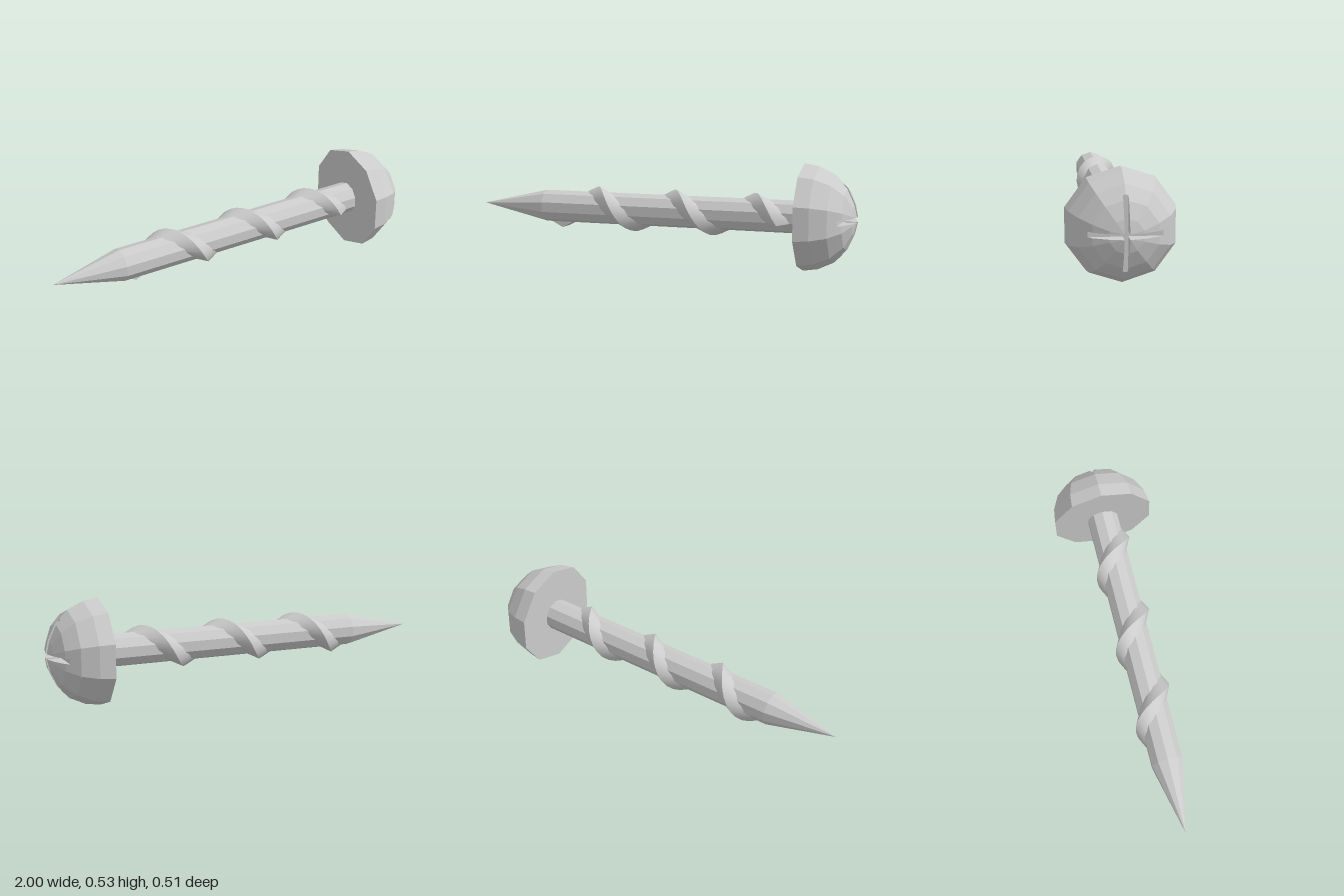
import * as THREE from 'three';

const AXIS_Y = 0.2675; // height of the screw axis, which runs along x
const SIDES = 10;
const flat = new THREE.MeshStandardMaterial({ color: 0xcccccc, flatShading: true });
const smooth = new THREE.MeshStandardMaterial({ color: 0xcccccc });

function addMesh(group, name, geometry, material) {
  const mesh = new THREE.Mesh(geometry, material);
  mesh.name = name;
  mesh.position.y = AXIS_Y;
  group.add(mesh);
}

function fromTriangles(points, indices) {
  const g = new THREE.BufferGeometry();
  g.setAttribute('position', new THREE.Float32BufferAttribute(points.flat(), 3));
  g.setIndex(indices);
  g.computeVertexNormals();
  return g;
}

// Ten-sided turned body from [x, radius] pairs, with a corner pointing up
function turned(profile) {
  const pts = profile.map(([x, r]) => new THREE.Vector2(r, x));
  return new THREE.LatheGeometry(pts, SIDES, Math.PI / 2).rotateZ(-Math.PI / 2);
}

// One quarter of the dome above the slot floor, including its two slot walls
function domeQuarter(sy, sz) {
  const w = 0.0125;
  const rings = [[0.93, 0.176], [0.95, 0.155], [0.985, 0.08]];
  const points = [], indices = [];
  const tri = (a, b, c) => indices.push(...(sy * sz > 0 ? [a, b, c] : [a, c, b]));
  for (const [x, r] of rings) {
    const [p0, p1, p2, p3] = [0, 1, 2, 3].map(i => {
      const a = i * 2 * Math.PI / SIDES;
      return new THREE.Vector2(r * Math.cos(a), r * Math.sin(a));
    });
    const start = p0.clone().lerp(p1, w / p1.y);
    const end = p2.clone().lerp(p3, (p2.x - w) / (p2.x - p3.x));
    for (const p of [start, p1, p2, end]) points.push([x, sy * p.x, sz * p.y]);
  }
  const tip = points.push([1, sy * w, sz * w]) - 1;
  const corner = points.push([0.93, sy * w, sz * w]) - 1;
  for (let i = 0; i < rings.length; i++) {
    const last = i === rings.length - 1, k = i * 4;
    for (let j = 0; j < 3; j++) {
      if (last) tri(k + j, k + j + 1, tip);
      else {
        tri(k + j, k + j + 1, k + j + 5);
        tri(k + j, k + j + 5, k + j + 4);
      }
    }
    tri(corner, k, last ? tip : k + 4);
    tri(corner, last ? tip : k + 7, k + 3);
  }
  return fromTriangles(points, indices);
}

// Triangular ridge wound around the shaft, each flank smooth with a sharp crest
function threadGeometry() {
  const steps = 56, turns = 2.8, pitch = 0.42, half = 0.08;
  const points = [], indices = [];
  const at = (i, dx, r) => {
    const t = turns * i / steps, a = t * 2 * Math.PI;
    return [-0.555 + pitch * t + dx, -r * Math.cos(a), -r * Math.sin(a)];
  };
  const base = 0.07, crest = 0.112;
  const section = [[-half, base], [0, crest], [half, base]];
  for (let f = 0; f < 2; f++) {
    const offset = points.length;
    for (let i = 0; i <= steps; i++) {
      points.push(at(i, ...section[f]), at(i, ...section[f + 1]));
      if (i === steps) break;
      const k = offset + i * 2;
      indices.push(k, k + 2, k + 3, k, k + 3, k + 1);
    }
  }
  // End caps
  for (const [i, order] of [[0, [0, 1, 2]], [steps, [2, 1, 0]]]) {
    for (const s of order) indices.push(points.push(at(i, ...section[s])) - 1);
  }
  return fromTriangles(points, indices);
}

export function createModel() {
  const screw = new THREE.Group();
  screw.name = 'screw';

  // Pointed shaft, running slightly into the head
  addMesh(screw, 'shaft', turned([[-1, 0], [-0.64, 0.082], [0.75, 0.082]]), flat);
  addMesh(screw, 'thread', threadGeometry(), smooth);

  // Lower head, closed at the floor of the cross slot
  addMesh(screw, 'headBase', turned([
    [0.735, 0], [0.735, 0.267], [0.81, 0.255], [0.89, 0.217], [0.93, 0.176], [0.93, 0],
  ]), flat);

  // Four dome quarters leave the cross slot open between them
  for (const sy of [1, -1]) {
    for (const sz of [1, -1]) addMesh(screw, 'headDomeQuarter', domeQuarter(sy, sz), flat);
  }
  return screw;
}
